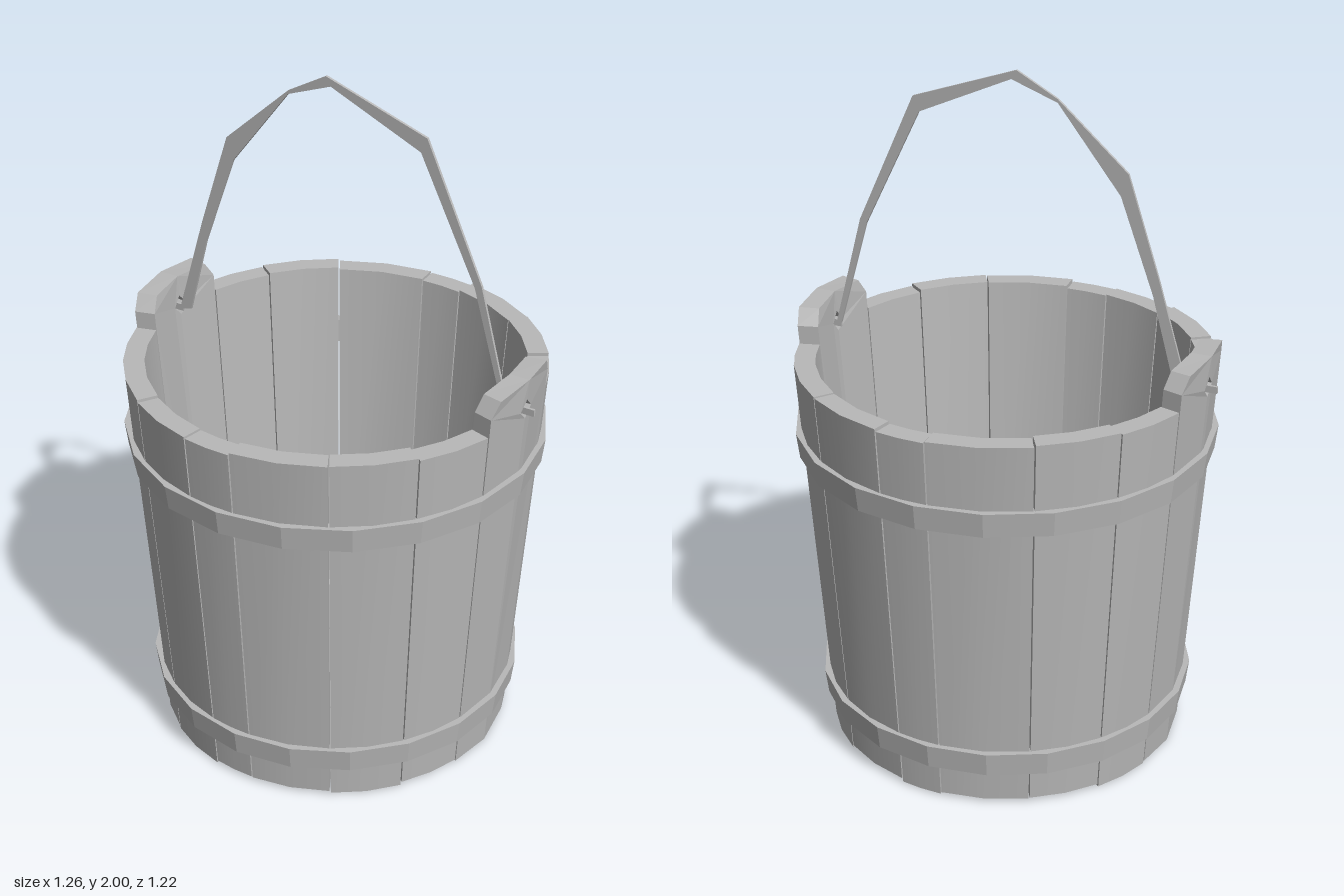
import * as THREE from 'three';

const wood = new THREE.MeshStandardMaterial({ color: 0xb8b8b8, side: THREE.DoubleSide });
wood.name = 'grey wood';

const RAD = Math.PI / 180;
const THICK = 0.06;
const BASE = 0.015;
const TOP = 1.17;
const EAR = 16; // half width of an ear stave in degrees

// outer radius of the tapered bucket wall at height y
const outer = (y) => 0.523 + 0.067 * y;

// wraps a flat piece (x = angle, y = height, z = depth) around the wall
function bend(geo, centre) {
  const p = geo.attributes.position;
  for (let i = 0; i < p.count; i++) {
    const y = p.getY(i);
    const a = centre + p.getX(i);
    const r = outer(y) - THICK + p.getZ(i);
    p.setXYZ(i, r * Math.sin(a), y, r * Math.cos(a));
  }
  geo.computeVertexNormals();
  return geo;
}

function add(parent, name, geo) {
  const mesh = new THREE.Mesh(geo, wood);
  mesh.name = name;
  parent.add(mesh);
  return mesh;
}

const polygon = (pts) => new THREE.Shape(pts.map(([x, y]) => new THREE.Vector2(x, y)));

// plain wall board between two angles
function stave(parent, a0, a1, i) {
  const y0 = BASE + 0.006 * Math.sin(i * 2.3);
  const y1 = TOP + 0.005 * Math.sin(i * 1.7);
  const geo = new THREE.BoxGeometry((a1 - a0 - 0.4) * RAD, y1 - y0, THICK, 2, 1, 1);
  geo.translate(0, (y0 + y1) / 2, THICK / 2);
  add(parent, 'stave', bend(geo, ((a0 + a1) / 2) * RAD));
}

// tall board with cut corners and a diamond hole, made of two halves
function earStave(parent, centre) {
  const w = (EAR - 0.2) * RAD;
  const h = 0.05; // half width of the hole as an angle
  const half = [[0, BASE - 0.01], [w, BASE], [w, 1.22], [w * 0.8, 1.265], [0, 1.272],
    [0, 1.21], [h, 1.18], [0, 1.15]];
  for (const s of [1, -1]) {
    const geo = new THREE.ExtrudeGeometry(polygon(half.map(([a, y]) => [a * s, y])),
      { depth: THICK, bevelEnabled: false });
    add(parent, 'earStave', bend(geo, centre * RAD));
  }
}

// flat hoop around the wall
function hoop(parent, y0, y1) {
  const a = outer(y0), b = outer(y1);
  const profile = [[a - 0.012, y0], [a + 0.015, y0], [b + 0.019, y1], [b - 0.012, y1], [a - 0.012, y0]]
    .map(([x, y]) => new THREE.Vector2(x, y));
  let geo = new THREE.LatheGeometry(profile, 20).toNonIndexed();
  geo.computeVertexNormals();
  add(parent, 'hoop', geo);
}

// floor plank between two x positions, cut to the round of the wall
function plank(parent, x0, x1) {
  const R = 0.49, n = 4, front = [], back = [];
  for (let i = 0; i <= n; i++) {
    const x = x0 + ((x1 - x0) * i) / n;
    const z = Math.sqrt(Math.max(R * R - x * x, 0.0001));
    front.push([x, z]);
    back.unshift([x, -z]);
  }
  const geo = new THREE.ExtrudeGeometry(polygon([...back, ...front]), { depth: 0.04, bevelEnabled: false });
  geo.rotateX(-Math.PI / 2);
  geo.translate(0, 0.06, 0);
  add(parent, 'floorPlank', geo);
}

export function createModel() {
  const bucket = new THREE.Group();
  bucket.name = 'bucket';

  // wall: uneven staves at front and back, ear staves at both sides
  const wall = new THREE.Group();
  wall.name = 'wall';
  bucket.add(wall);
  const frontSeams = [-74, -55, -32, -10, 4, 30, 53, 74];
  const backSeams = [-74, -58, -36, -11, 3, 31, 54, 74].map((a) => a + 180);
  [frontSeams, backSeams].forEach((seams, k) => {
    for (let i = 0; i < 7; i++) stave(wall, seams[i], seams[i + 1], i + k * 7);
  });
  earStave(wall, 90);
  earStave(wall, -90);

  // hoops
  hoop(bucket, 0.112, 0.185);
  hoop(bucket, 0.905, 0.978);

  // floor
  const floor = new THREE.Group();
  floor.name = 'floor';
  bucket.add(floor);
  const cuts = [-0.488, -0.31, -0.095, 0.115, 0.308, 0.488];
  for (let i = 0; i < 5; i++) plank(floor, cuts[i] + 0.002, cuts[i + 1] - 0.002);

  // handle: thin bent strip, outer edge then inner edge
  const strip = polygon([
    [-0.54, 1.17], [-0.45, 1.47], [-0.355, 1.755], [-0.15, 1.935], [-0.03, 2.0], [0.28, 1.893], [0.455, 1.51], [0.545, 1.17],
    [0.53, 1.17], [0.435, 1.5], [0.262, 1.85], [-0.015, 1.974], [-0.15, 1.925], [-0.335, 1.69], [-0.435, 1.42], [-0.5, 1.18],
  ]);
  const handle = new THREE.ExtrudeGeometry(strip, { depth: 0.008, bevelEnabled: false });
  handle.translate(0, 0, -0.004);
  add(bucket, 'handle', handle);

  // handle ends passing through the ear holes
  for (const s of [1, -1]) {
    const pin = add(bucket, 'handlePin', new THREE.BoxGeometry(0.1, 0.02, 0.008));
    pin.position.set(s * 0.578, 1.175, 0);
  }
  return bucket;
}
